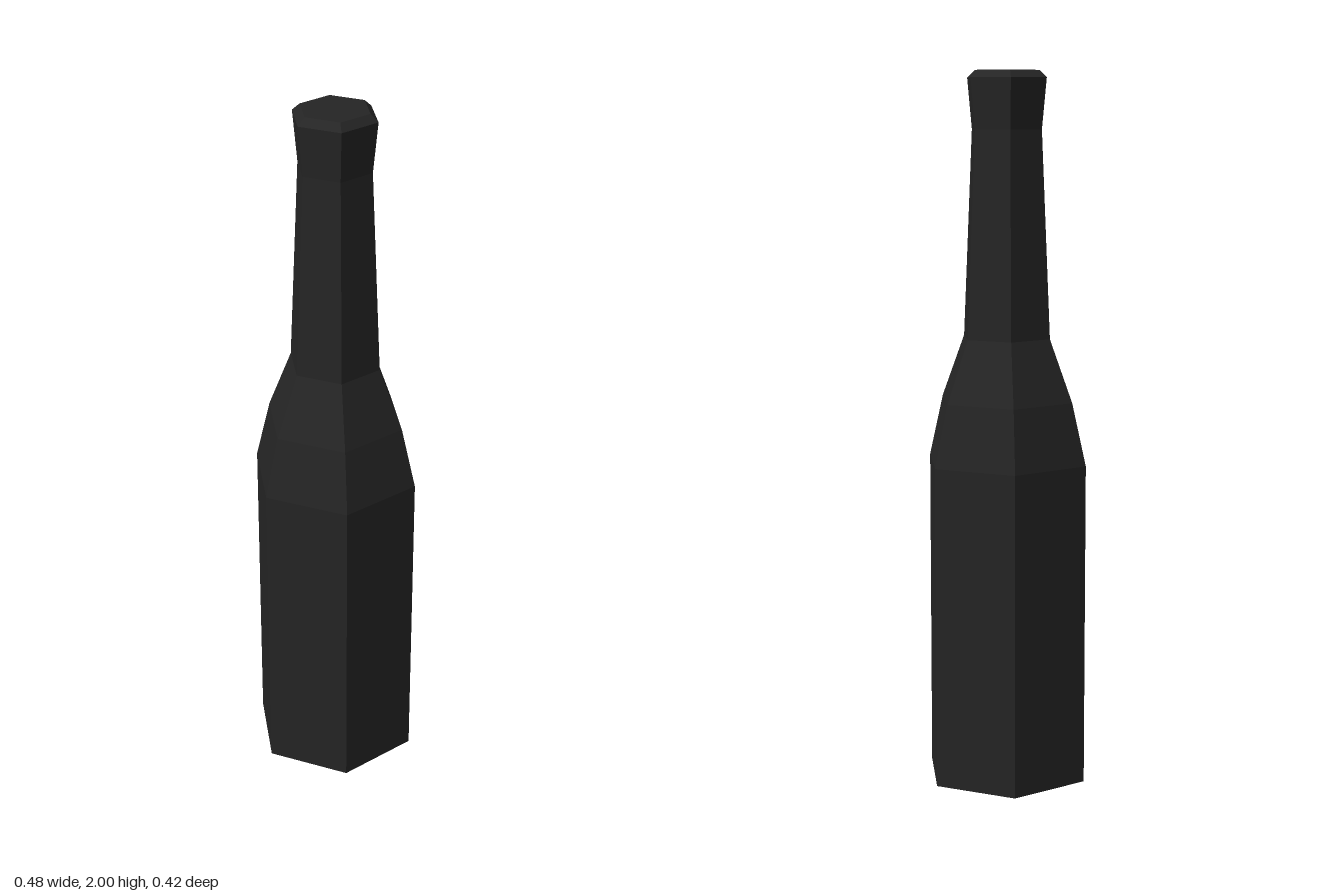
import * as THREE from 'three';

export function createModel() {
  const group = new THREE.Group();
  group.name = 'bottle';

  const darkGlass = new THREE.MeshStandardMaterial({ color: 0x252525 });
  darkGlass.name = 'dark glass';

  // Six-sided body with corners on the x axis, faceted by splitting its vertices
  function addSection(name, profile) {
    const points = profile.map(([r, y]) => new THREE.Vector2(r, y));
    const geometry = new THREE.LatheGeometry(points, 6, Math.PI / 2).toNonIndexed();
    geometry.computeVertexNormals();
    const mesh = new THREE.Mesh(geometry, darkGlass);
    mesh.name = name;
    group.add(mesh);
  }

  // Base and straight body
  addSection('body', [[0, 0], [0.242, 0], [0.242, 0.915]]);
  // Two-step shoulder
  addSection('shoulder', [[0.242, 0.915], [0.2, 1.09], [0.132, 1.265]]);
  // Tapering neck
  addSection('neck', [[0.132, 1.265], [0.106, 1.84]]);
  // Flared lip with bevelled, closed top
  addSection('lip', [[0.106, 1.84], [0.12, 1.98], [0.098, 2], [0, 2]]);

  return group;
}
